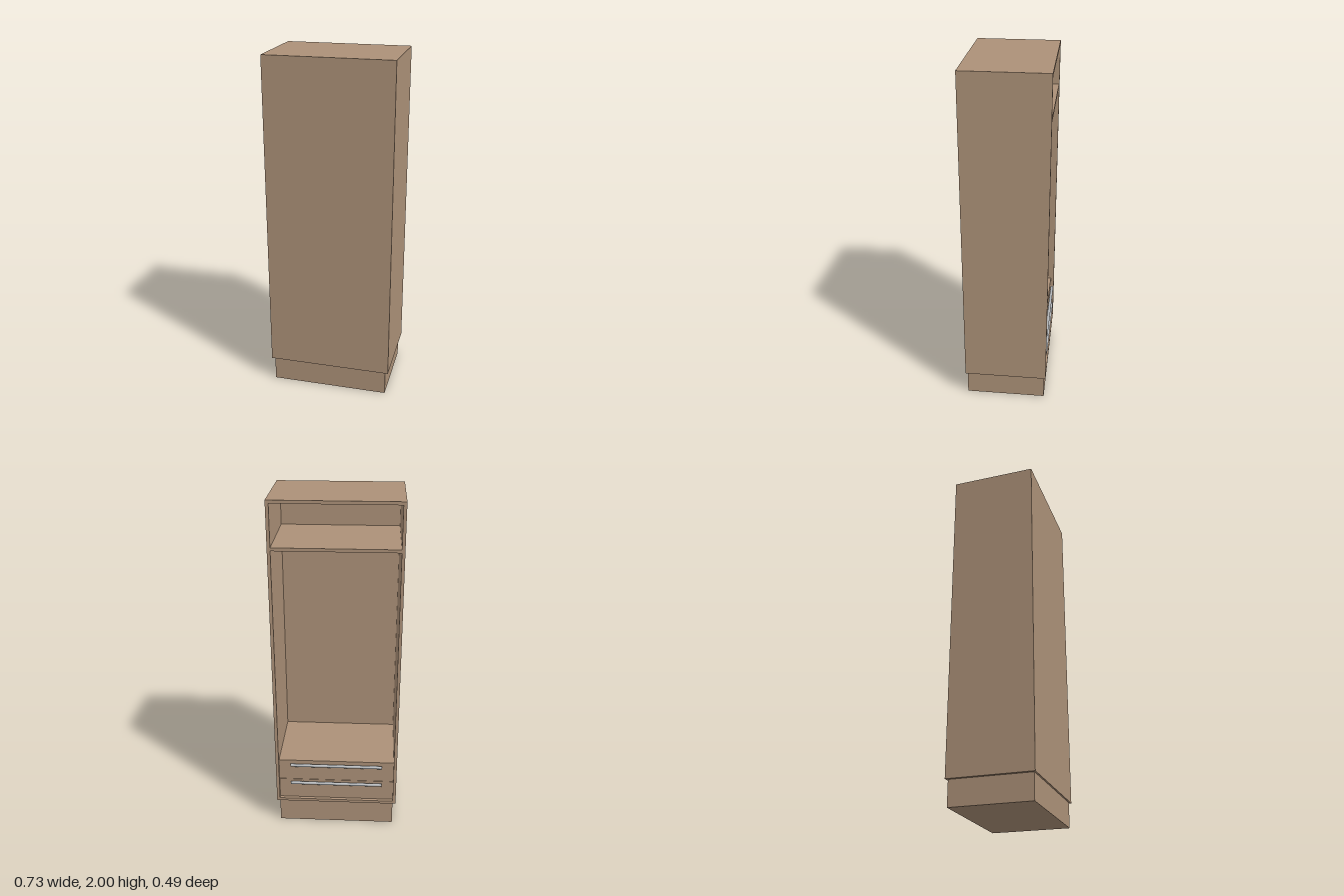
import * as THREE from 'three';

export function createModel() {
  const model = new THREE.Group();
  model.name = 'wardrobe';
  const wood = new THREE.MeshStandardMaterial({ color: 0xac9178 });
  wood.name = 'light brown wood';
  const metal = new THREE.MeshStandardMaterial({ color: 0xb0b3b6 });
  metal.name = 'grey metal';

  // Box given by its lower and upper limits on each axis
  function board(name, [x0, x1], [y0, y1], [z0, z1]) {
    const mesh = new THREE.Mesh(new THREE.BoxGeometry(x1 - x0, y1 - y0, z1 - z0), wood);
    mesh.position.set((x0 + x1) / 2, (y0 + y1) / 2, (z0 + z1) / 2);
    mesh.name = name;
    model.add(mesh);
  }

  // Horizontal metal bar along x
  function bar(name, length, radius, y, z) {
    const mesh = new THREE.Mesh(new THREE.CylinderGeometry(radius, radius, length, 20), metal);
    mesh.rotation.z = Math.PI / 2;
    mesh.position.set(0, y, z);
    mesh.name = name;
    model.add(mesh);
  }

  const W = 0.363, D = 0.242, T = 0.018, bottom = 0.145, top = 2;
  const inner = W - T, panel = D - 0.006;
  const span = [-inner, inner];

  // Plinth and carcass, open towards -z
  board('plinth', [-0.345, 0.345], [0, bottom], [-0.232, 0.232]);
  board('leftSide', [inner, W], [bottom, top], [-D, panel]);
  board('rightSide', [-W, -inner], [bottom, top], [-D, panel]);
  board('topPanel', span, [top - T, top], [-D, panel]);
  board('bottomPanel', span, [bottom, bottom + T], [-D, panel]);
  board('frontPanel', [-W, W], [bottom, top], [panel, D]);

  // Shelf and hanging rail
  board('shelf', span, [1.73, 1.748], [-D + 0.002, panel]);
  bar('hangingRail', inner * 2, 0.012, 1.68, 0);

  // Two drawers with bar handles on short posts
  const face = -0.222, split = 0.292;
  const drawers = [[bottom + T, split - 0.001, 0.272], [split + 0.001, 0.425, 0.397]];
  for (const [y0, y1, handleY] of drawers) {
    board('drawer', span, [y0, y1], [face, panel]);
    bar('drawerHandle', 0.55, 0.009, handleY, face - 0.012);
    for (const x of [-0.2, 0.2]) {
      const post = new THREE.Mesh(new THREE.CylinderGeometry(0.004, 0.004, 0.012, 10), metal);
      post.rotation.x = Math.PI / 2;
      post.position.set(x, handleY, face - 0.006);
      post.name = 'handlePost';
      model.add(post);
    }
  }
  return model;
}
